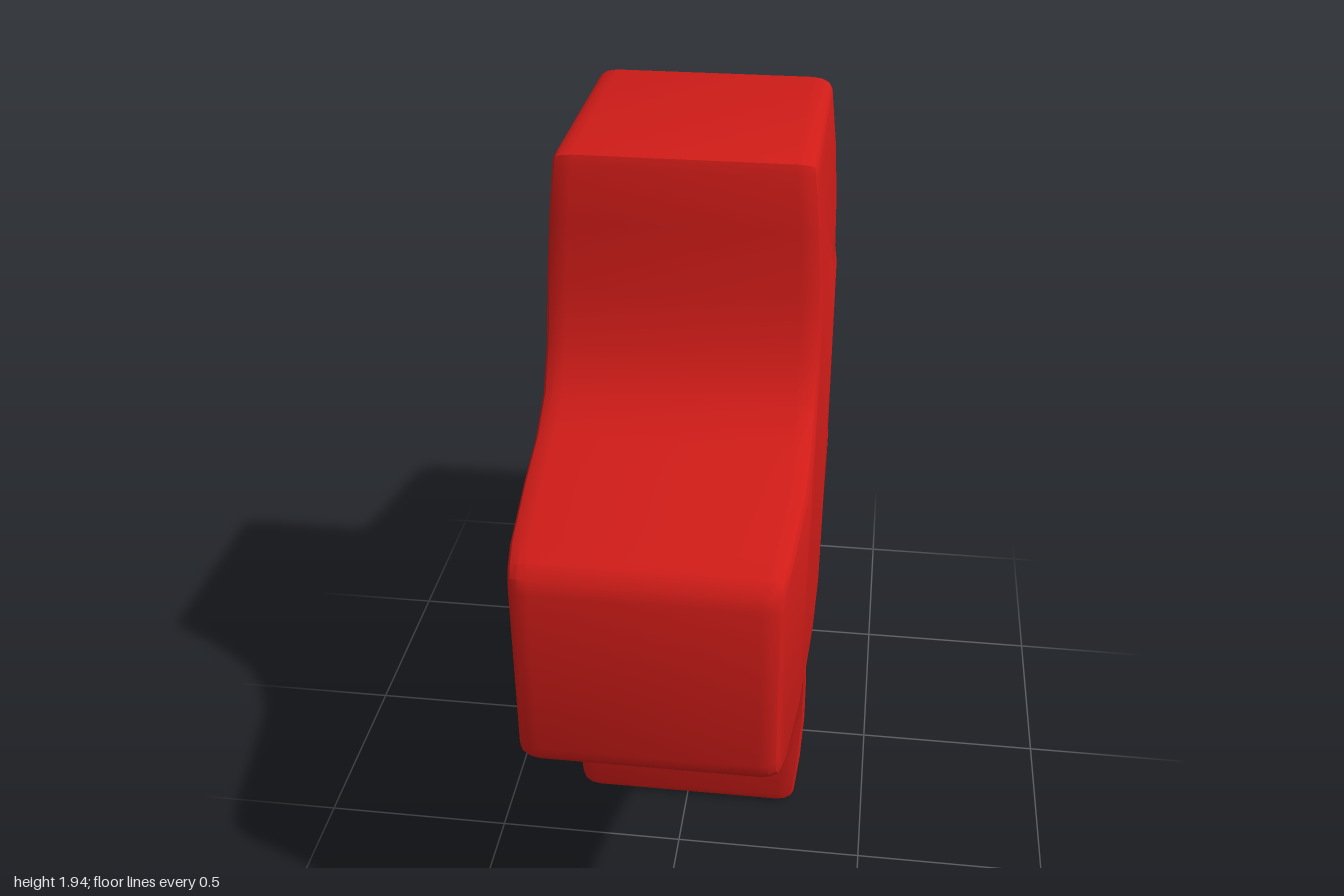
import * as THREE from 'three';
import { toCreasedNormals } from 'three/addons/utils/BufferGeometryUtils.js';

export function createModel() {
  const group = new THREE.Group();
  group.name = 'plusBlock';
  const centerY = 0.97;

  // one quarter of the outline, from the top arm's end round the fillet to the side arm's end
  const quarter = [
    [0.295, 0.97], [0.316, 0.96], [0.325, 0.935], [0.33, 0.8], [0.35, 0.64], [0.38, 0.51], [0.44, 0.41],
    [0.54, 0.35], [0.67, 0.32], [0.9, 0.297], [0.965, 0.277], [0.99, 0.25], [1, 0.215],
  ];
  const back = [...quarter].reverse();
  const flip = (pts, sx, sy) => pts.map(([x, y]) => new THREE.Vector2(x * sx, y * sy));
  const outline = new THREE.Shape([
    ...flip(quarter, 1, 1), ...flip(back, 1, -1), ...flip(quarter, -1, -1), ...flip(back, -1, 1),
  ]);

  // rounded slab, then the arms are made slightly thinner towards their ends
  const depth = 0.56;
  let geo = new THREE.ExtrudeGeometry(outline, {
    depth, steps: 1, bevelEnabled: true, bevelThickness: 0.05,
    bevelSize: 0.025, bevelOffset: -0.025, bevelSegments: 3,
  });
  geo.translate(0, 0, -depth / 2);
  geo.rotateY(Math.PI / 2);
  const pos = geo.attributes.position;
  for (let i = 0; i < pos.count; i++) {
    const reach = Math.max(Math.abs(pos.getY(i)), Math.abs(pos.getZ(i)));
    const t = Math.max(0, (reach - 0.55) / 0.43);
    pos.setX(i, pos.getX(i) * (1 - 0.09 * t * t));
  }
  geo.deleteAttribute('normal');
  geo = toCreasedNormals(geo, 0.55);

  const cross = new THREE.Mesh(geo, new THREE.MeshStandardMaterial({ color: 0xd01c18 }));
  cross.name = 'crossBody';
  cross.position.y = centerY;
  group.add(cross);
  return group;
}
